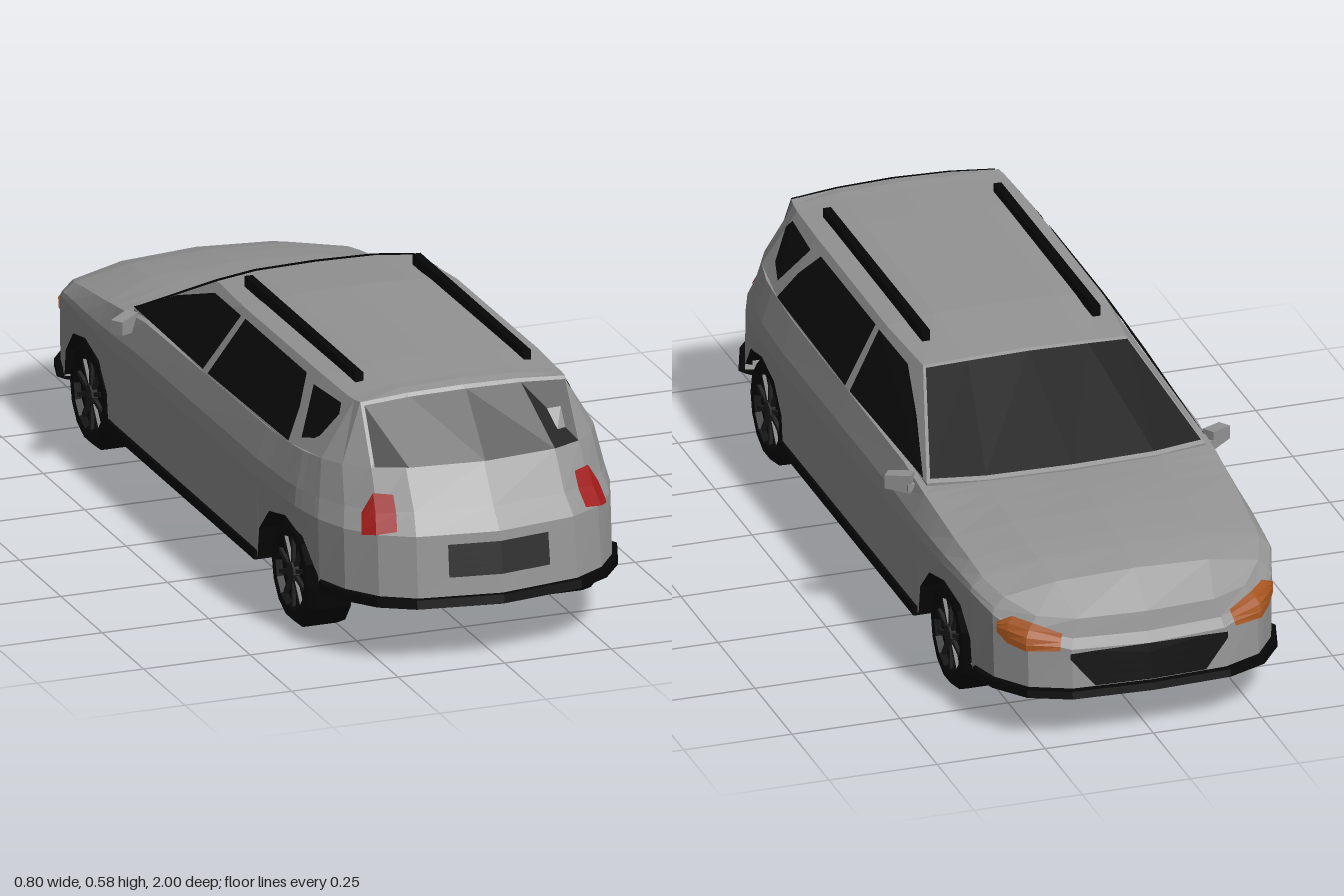
import * as THREE from 'three';

const mat = (color) => new THREE.MeshStandardMaterial({ color, flatShading: true, side: THREE.DoubleSide });
const PAINT = mat(0x939393), BLACK = mat(0x060606), GLASS = mat(0x0c0c0c), PLATE = mat(0x2c2c2c), RIM = mat(0x222222);
const RED = mat(0xa01a18), ORANGE = mat(0xa8561f);

const clamp = (v) => Math.min(1, Math.max(0, v));
// piecewise linear lookup in a list of [key, value]
function look(table, k) {
  if (k <= table[0][0]) return table[0][1];
  for (let i = 1; i < table.length; i++) {
    const [a, va] = table[i - 1], [b, vb] = table[i];
    if (k <= b) return va + (vb - va) * (k - a) / (b - a);
  }
  return table[table.length - 1][1];
}
const flip = (p) => [-p[0], p[1], p[2]];
// half outline (first and last point on the centre line) to a full closed ring
const ring = (half) => [...half, ...half.slice(0, -1).reverse().map(flip)];
// outer-to-centre points to a full row across the car
const across = (half) => [...half.map(flip), ...half.slice(0, -1).reverse()];

// faceted surface through rows of points
function surface(rows, material, name) {
  const n = rows[0].length, index = [];
  for (let r = 0; r < rows.length - 1; r++) {
    for (let c = 0; c < n - 1; c++) {
      const a = r * n + c, b = a + n;
      index.push(a, b, a + 1, b, b + 1, a + 1);
    }
  }
  const g = new THREE.BufferGeometry();
  g.setAttribute('position', new THREE.Float32BufferAttribute(rows.flat(2), 3));
  g.setIndex(index);
  const flat = g.toNonIndexed();
  flat.computeVertexNormals();
  const m = new THREE.Mesh(flat, material);
  m.name = name;
  return m;
}
function box(w, h, d, x, y, z, material, name) {
  const m = new THREE.Mesh(new THREE.BoxGeometry(w, h, d), material);
  m.position.set(x, y, z);
  m.name = name;
  return m;
}

// wheel arch outline around an axle
const AXLES = [-0.622, 0.597];
const arch = (c) => [[-0.155, 0.11], [-0.145, 0.18], [-0.09, 0.238], [0, 0.258], [0.09, 0.238], [0.145, 0.18], [0.155, 0.11]]
  .map(([d, y]) => [c + d, y]);

// body rules along the length: half width, lower edge, crease, top edge, bonnet crown, floor height
const WIDTH = [[-0.985, 0], [-0.975, 0.18], [-0.935, 0.27], [-0.86, 0.325], [-0.78, 0.348], [-0.62, 0.36],
  [-0.44, 0.367], [0.44, 0.369], [0.66, 0.362], [0.76, 0.347], [0.84, 0.318], [0.91, 0.265], [0.955, 0.19], [0.985, 0]];
const BOTTOM = [[-0.985, 0.12], [-0.78, 0.12], ...arch(AXLES[0]), ...arch(AXLES[1]).slice(0, -1), [0.76, 0.16], [0.985, 0.155]];
const CREASE = [[-0.985, 0.21], [-0.86, 0.275], [-0.78, 0.3]];
const TOP = [[-0.985, 0.277], [-0.935, 0.283], [-0.86, 0.31], [-0.75, 0.338], [-0.62, 0.357], [-0.44, 0.383],
  [-0.3, 0.4], [0.5, 0.41], [0.75, 0.425], [0.985, 0.43]];
const CROWN = [[-0.935, 0.02], [-0.86, 0.032], [-0.6, 0.028], [-0.44, 0.013], [-0.3, 0]];
const FLOOR = [[-0.78, 0.12], [-0.45, 0.107], [0.44, 0.107], [0.76, 0.152]];
const STATIONS = [...new Set([...WIDTH, ...BOTTOM].map((p) => p[0]).concat(-0.3, 0.07))].sort((a, b) => a - b);

// vertical section of the body side at one station
function column(z) {
  const x = look(WIDTH, z), y1 = look(CREASE, z), y3 = look(TOP, z);
  const ys = [look(BOTTOM, z), y1, y1 + (y3 - y1) * 0.35, y3];
  const rear = clamp((z - 0.6) / 0.385), nose = clamp((-z - 0.8) / 0.185);
  return ys.map((y, i) => [
    x * ([0.985, 1, 0.988, 0.92][i] - [0, 0.03, 0.065, 0][i] * rear - [0, 0.02, 0.04, 0.04][i] * nose), y,
    z - [-0.005, 0.015, 0.052, 0.11][i] * rear + [0, 0.01, 0.022, 0.032][i] * nose]);
}
// point on the body side at station z and height y, lifted a little
function onBody(z, y, lift = 0.006) {
  const c = column(z);
  const at = (k) => look(c.map((p) => [p[1], p[k]]), y);
  const x = at(0);
  return [x + lift * clamp(x / 0.2), y, at(2) + Math.sign(z) * lift];
}
// thin panel lying on the body, from [station, low y, high y] entries
const patch = (cols, material, name) => surface([0, 0.25, 0.5, 0.75, 1].map((t) =>
  cols.map(([z, a, b]) => onBody(z, a + (b - a) * t))), material, name);

function bodyShell() {
  const g = new THREE.Group();
  g.name = 'body';
  const cols = STATIONS.map(column), n = cols.length;
  g.add(surface([0, 1, 2, 3].map((l) => ring(cols.map((c) => c[l]))), PAINT, 'bodySides'));
  // floor pan, narrow between the wheels
  g.add(surface(STATIONS.map((z, i) => {
    const p = [Math.abs(z) < 0.755 ? 0.245 : cols[i][0][0], look(FLOOR, z), z];
    return [p, flip(p)];
  }), PAINT, 'underside'));
  const top = cols.map((c) => c[3]);
  const rows = [across([top[2], top[1], top[0]])];
  for (let i = 3; i < n - 3; i++) {
    const [x, y, z] = top[i], k = look(CROWN, STATIONS[i]);
    rows.push(across([[x, y, z], [x * 0.6, y + k * 0.75, z - 0.01], [0, y + k, z - 0.015]]));
  }
  rows.push(across([top[n - 3], top[n - 2], top[n - 1]]));
  g.add(surface(rows, PAINT, 'bonnet'));
  return g;
}

// bumper strip wrapped round one end
function bumper(zs, low, high, name) {
  const s = Math.sign(zs[0]);
  const level = (y, k, d) => across(zs.map((z) => [look(WIDTH, z) * k, y, z + s * d]));
  return surface([level(high, 0.95, -0.015), level(high - 0.004, 1.015, 0.012), level(low + 0.004, 1.015, 0.015),
    level(low, 0.98, 0.005), level(low, 0.82, -0.06)], BLACK, name);
}

// cabin: belt and roof points from windscreen centre round to rear centre; the belt follows the body's top edge
const BELT = [[0, 0.4, -0.455], [0.2, 0.396, -0.44], [0.322, 0.393, -0.41],
  ...[0.07, 0.55, 0.76, 0.84, 0.91, 0.955, 0.985].map((z) => column(z)[3])];
const ROOF = [[0, 0.552, -0.14], [0.14, 0.549, -0.14], [0.235, 0.541, -0.13], [0.25, 0.55, 0.07], [0.25, 0.553, 0.55],
  [0.246, 0.552, 0.69], [0.244, 0.553, 0.72], [0.24, 0.555, 0.745], [0.13, 0.564, 0.748], [0, 0.567, 0.75]];
// cabin side x at length z and height y
function cabinX(z, y) {
  const side = (list) => look(list.slice(2, 8).map((p) => [p[2], p[0]]), z);
  return side(BELT) + (side(ROOF) - side(BELT)) * clamp((y - 0.41) / 0.14);
}
function sideWindow(points, s, name) {
  const g = new THREE.ShapeGeometry(new THREE.Shape(points.map((p) => new THREE.Vector2(...p))));
  const p = g.attributes.position;
  for (let i = 0; i < p.count; i++) {
    const z = p.getX(i), y = p.getY(i);
    p.setXYZ(i, s * (cabinX(z, y) + 0.005), y, z);
  }
  g.computeVertexNormals();
  const m = new THREE.Mesh(g, GLASS);
  m.name = name;
  return m;
}
// screen glass between belt and roof, outer point first
function screen(ids, lo, hi, dz, name) {
  const row = (t) => across(ids.map((i) => BELT[i].map((b, k) =>
    (b + (ROOF[i][k] - b) * t) * (k ? 1 : 0.98) + [0, 0.004, dz][k])));
  return surface([row(lo), row(hi)], GLASS, name);
}
function cabin() {
  const g = new THREE.Group();
  g.name = 'cabin';
  g.add(surface([ring(BELT.map(([x, y, z]) => [x * 0.99, y - 0.03, z])), ring(BELT), ring(ROOF)], PAINT, 'pillars'));
  const rows = [across([ROOF[2], ROOF[1], ROOF[0]])];
  for (const i of [3, 4, 5, 6]) {
    const [x, y, z] = ROOF[i];
    rows.push(across([[x, y, z], [x * 0.56, y + 0.014, z], [0, y + 0.018, z]]));
  }
  rows.push(across([ROOF[7], ROOF[8], ROOF[9]]));
  g.add(surface(rows, PAINT, 'roof'));
  g.add(screen([2, 1, 0], 0.03, 0.97, -0.005, 'windscreen'), screen([7, 8, 9], 0, 0.94, 0.009, 'rearWindow'));
  return g;
}

function wheel(s, z) {
  const g = new THREE.Group();
  g.name = 'wheel';
  const profile = [[0, -0.05], [0.125, -0.05], [0.125, 0.03], [0.108, 0.05], [0.086, 0.05], [0.08, 0.036], [0, 0.036]];
  const tyre = new THREE.Mesh(new THREE.LatheGeometry(profile.map((p) => new THREE.Vector2(...p)), 14), BLACK);
  tyre.name = 'tyre';
  const hub = new THREE.Mesh(new THREE.CylinderGeometry(0.022, 0.028, 0.012, 10), RIM);
  hub.position.y = 0.043;
  hub.name = 'hub';
  g.add(tyre, hub);
  for (let i = 0; i < 10; i++) {
    const a = i * Math.PI / 5;
    const spoke = box(0.062, 0.008, 0.01, Math.cos(a) * 0.05, 0.041, -Math.sin(a) * 0.05, RIM, 'spoke');
    spoke.rotation.y = a;
    g.add(spoke);
  }
  g.rotation.z = -s * Math.PI / 2;
  g.position.set(s * 0.298, 0.125, z);
  return g;
}
// dark liner under an arch with its inner wall
function wheelWell(c) {
  const edge = arch(c).slice(0, c > 0 ? -1 : 7);
  return surface([edge.map(([z, y]) => [look(WIDTH, z) * 0.985, y, z]),
    edge.map(([z, y]) => [0.245, y, z]), edge.map(([z]) => [0.245, look(FLOOR, z), z])], BLACK, 'wheelWell');
}

// parts of one side, built for +x
function sideParts(s) {
  const g = new THREE.Group();
  g.name = s > 0 ? 'leftSide' : 'rightSide';
  g.add(sideWindow([[-0.4, 0.403], [0.055, 0.413], [0.085, 0.537], [-0.09, 0.53], [-0.24, 0.478]], s, 'frontWindow'));
  g.add(sideWindow([[0.085, 0.413], [0.56, 0.416], [0.53, 0.48], [0.48, 0.538], [0.11, 0.538]], s, 'rearDoorWindow'));
  g.add(sideWindow([[0.6, 0.435], [0.66, 0.452], [0.695, 0.515], [0.68, 0.535], [0.535, 0.53]], s, 'quarterWindow'));
  const m = new THREE.Group();
  m.name = 'fittings';
  m.scale.x = s;
  m.add(patch([[-0.966, 0.215, 0.25], [-0.935, 0.212, 0.272], [-0.895, 0.22, 0.28], [-0.872, 0.24, 0.265]], ORANGE, 'headlight'));
  m.add(patch([[0.935, 0.31, 0.38], [0.91, 0.302, 0.382], [0.88, 0.297, 0.34]], RED, 'tailLight'));
  m.add(patch([[-0.975, 0.195, 0.208], [-0.978, 0.13, 0.21], [-0.985, 0.13, 0.212]], GLASS, 'lowerGrille'));
  m.add(patch([[0.9665, 0.207, 0.28], [0.985, 0.207, 0.28]], PLATE, 'plate'));
  m.add(box(0.018, 0.025, 0.67, 0.197, 0.567, 0.295, BLACK, 'roofRail'));
  m.add(box(0.014, 0.022, 0.9, 0.363, 0.114, -0.01, BLACK, 'sill'));
  for (const c of AXLES) m.add(wheelWell(c));
  // mirror housing tapering outward, on a short arm
  const housing = box(0.06, 0.044, 0.03, 0.366, 0.382, -0.355, PAINT, 'mirror');
  const p = housing.geometry.attributes.position;
  for (let i = 0; i < p.count; i++) if (p.getX(i) > 0) p.setY(i, p.getY(i) * 0.7);
  housing.rotation.y = -0.6;
  m.add(housing, box(0.05, 0.016, 0.02, 0.332, 0.375, -0.375, PAINT, 'mirrorArm'));
  g.add(m);
  for (const z of AXLES) g.add(wheel(s, z));
  return g;
}

export function createModel() {
  const car = new THREE.Group();
  car.name = 'car';
  car.add(bodyShell(), cabin());
  car.add(bumper([-0.79, -0.86, -0.935, -0.975, -0.985], 0.103, 0.128, 'frontBumper'));
  car.add(bumper([0.765, 0.84, 0.91, 0.955, 0.985], 0.138, 0.166, 'rearBumper'));
  car.add(box(0.72, 0.006, 0.9, 0, 0.106, -0.01, BLACK, 'floor'));
  for (const s of [1, -1]) car.add(sideParts(s));
  return car;
}
